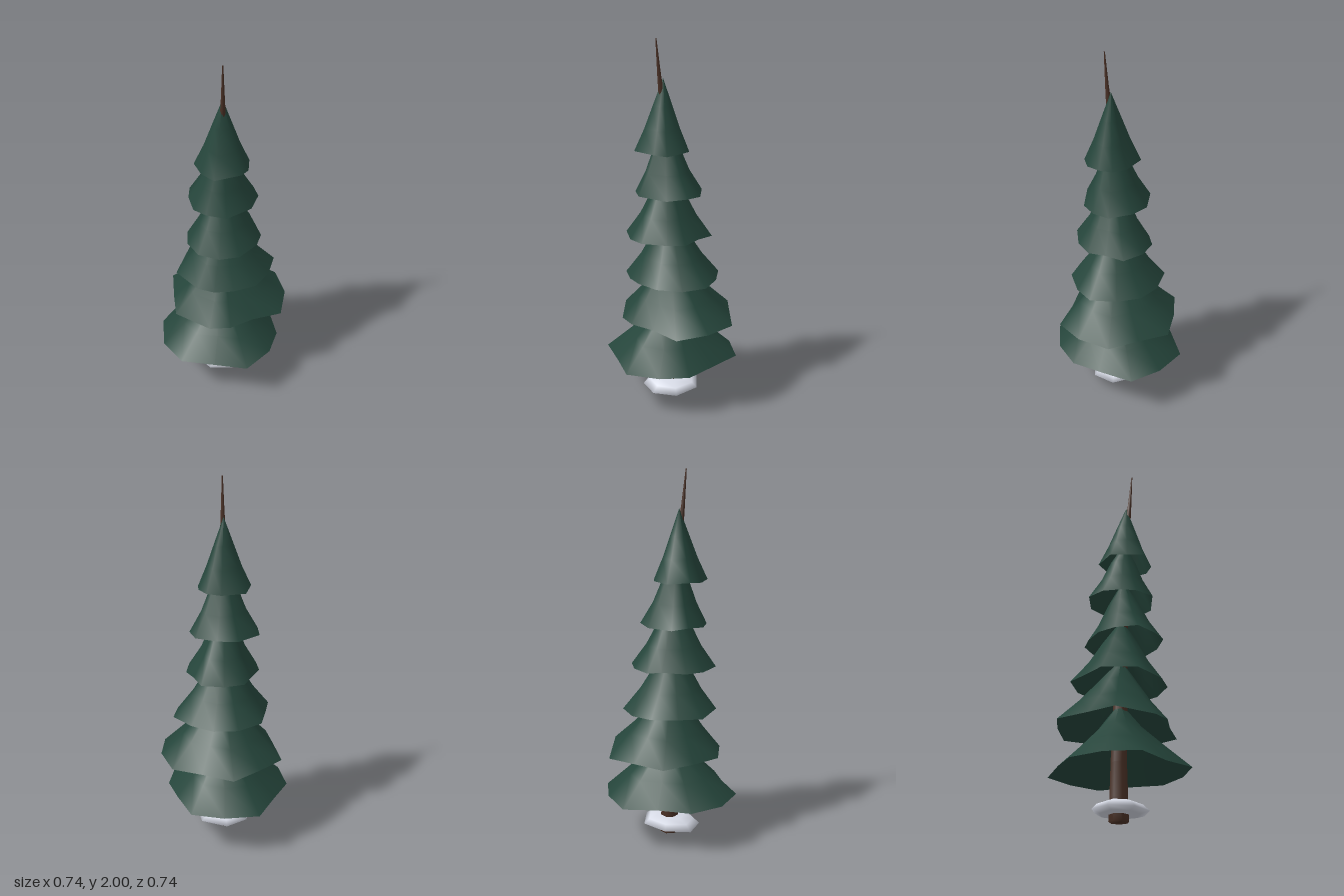
import * as THREE from 'three';

const needles = new THREE.MeshStandardMaterial({ color: 0x25453b, side: THREE.DoubleSide });
needles.name = 'needle green';
const bark = new THREE.MeshStandardMaterial({ color: 0x4a3126 });
bark.name = 'bark brown';
const snow = new THREE.MeshStandardMaterial({ color: 0xe0e4f0 });
snow.name = 'snow white';

// Skin a stack of rings (bottom to top), each an array of [x, y, z]
function loft(name, rings, material) {
  const n = rings[0].length, index = [];
  for (let r = 0; r < rings.length - 1; r++) {
    for (let i = 0; i < n; i++) {
      const j = (i + 1) % n;
      const a = r * n + i, b = a + n, c = (r + 1) * n + j, d = r * n + j;
      index.push(a, b, c, a, c, d);
    }
  }
  const geometry = new THREE.BufferGeometry();
  geometry.setAttribute('position', new THREE.Float32BufferAttribute(rings.flat(2), 3));
  geometry.setIndex(index);
  geometry.computeVertexNormals();
  const mesh = new THREE.Mesh(geometry, material);
  mesh.name = name;
  return mesh;
}

// Regular ring around a centre
function circle(x, y, z, radius, sides) {
  return Array.from({ length: sides }, (_, i) => {
    const a = (i / sides) * Math.PI * 2;
    return [x + Math.cos(a) * radius, y, z + Math.sin(a) * radius];
  });
}

// Each tier: rim height, neck width ratio, uneven rim as [x, z] corners
const TIERS = [
  { y: 0.25, neck: 0.31, rim: [[0.33, -0.14], [0.29, 0.05], [0.24, 0.21], [0.12, 0.32], [-0.06, 0.37], [-0.2, 0.25],
    [-0.35, 0.14], [-0.37, -0.04], [-0.29, -0.21], [-0.13, -0.29], [0.04, -0.37], [0.21, -0.28]] },
  { y: 0.49, neck: 0.36, rim: [[0.365, -0.02], [0.32, 0.155], [0.205, 0.29], [0.04, 0.26], [-0.1, 0.255], [-0.2, 0.2],
    [-0.31, 0.01], [-0.25, -0.13], [-0.17, -0.296], [0, -0.32], [0.175, -0.313], [0.27, -0.165]] },
  { y: 0.725, neck: 0.38, rim: [[0.25, -0.04], [0.27, 0.1], [0.18, 0.19], [0.06, 0.253], [-0.07, 0.23], [-0.16, 0.18],
    [-0.227, 0.118], [-0.26, -0.065], [-0.165, -0.155], [-0.06, -0.25], [0.08, -0.23], [0.194, -0.163]] },
  { y: 0.96, neck: 0.39, rim: [[0.204, -0.068], [0.18, 0.03], [0.16, 0.13], [0.09, 0.2], [-0.04, 0.24], [-0.14, 0.2],
    [-0.22, 0.12], [-0.22, 0], [-0.17, -0.09], [-0.06, -0.157], [0.01, -0.187], [0.12, -0.157]] },
  { y: 1.195, neck: 0.4, rim: [[0.178, 0.015], [0.155, 0.1], [0.07, 0.17], [-0.09, 0.19], [-0.165, 0.11],
    [-0.195, 0.03], [-0.17, -0.07], [-0.12, -0.15], [0.025, -0.157], [0.12, -0.1]] },
  { y: 1.425, neck: 0.36, rim: [[0.107, 0.01], [0.107, 0.08], [0.06, 0.15], [0, 0.18], [-0.14, 0.153],
    [-0.163, 0.06], [-0.155, -0.03], [-0.06, -0.107], [0.06, -0.055]] },
];

// Branch tier: an open, slightly flared cone leaning with the trunk
function branchTier({ y, neck, rim }, number) {
  const height = 0.375, lean = ((y + height) / 1.8) ** 2;
  const cx = -0.03 * lean, cz = 0.045 * lean;
  const levels = [[0, 1], [0.31, 0.65], [0.62, neck], [1, 0]];
  const rings = levels.map(([t, s]) => rim.map(([x, z], i) => [
    cx + (x - cx) * s,
    y + t * height + (t === 0 ? 0.005 * Math.sin(i * 2.3) : 0),
    cz + (z - cz) * s,
  ]));
  return loft('branchTier' + number, rings, needles);
}

export function createModel() {
  const tree = new THREE.Group();
  tree.name = 'tree';

  // Tapered, leaning trunk ending in a thin bare tip
  const trunk = [[0, 0, 0, 0], [0, 0, 0, 0.053], [0, 0.12, 0, 0.048], [0, 0.3, 0, 0.043],
    [-0.012, 1, 0.018, 0.032], [-0.034, 1.72, 0.056, 0.015], [-0.04, 1.82, 0.066, 0.01],
    [-0.049, 2, 0.08, 0.003], [-0.049, 2, 0.08, 0]];
  tree.add(loft('trunk', trunk.map(([x, y, z, r]) => circle(x, y, z, r, 7)), bark));

  // Uneven mound of snow around the foot of the trunk
  const edge = [[0.16, 0.065, 0.0], [0.1, 0.05, 0.12], [-0.03, 0.045, 0.155], [-0.14, 0.045, 0.09],
    [-0.17, 0.045, -0.04], [-0.06, 0.055, -0.13], [0.08, 0.065, -0.13]];
  const snowRing = (s, y, follow) => edge.map(([x, h, z]) => [x * s, y + (h - 0.055) * follow, z * s]);
  tree.add(loft('snowMound', [
    snowRing(0, 0.034, 0), snowRing(0.7, 0.036, 0.2), snowRing(1, 0.055, 1),
    snowRing(0.8, 0.083, 0.5), snowRing(0.5, 0.097, 0.1), snowRing(0, 0.1, 0),
  ], snow));

  TIERS.forEach((tier, i) => tree.add(branchTier(tier, i + 1)));
  return tree;
}
